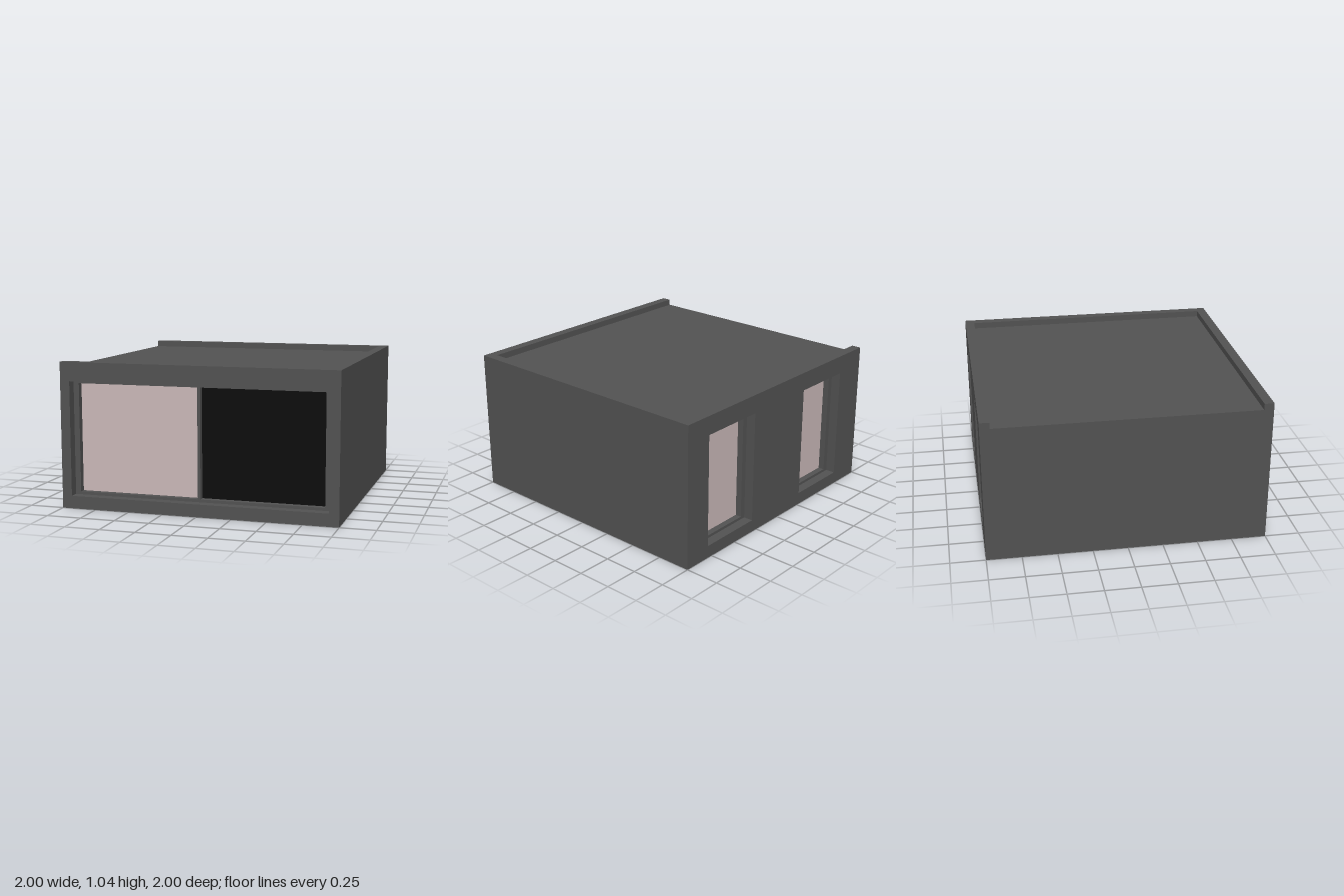
import * as THREE from 'three';

export function createModel() {
  const model = new THREE.Group();
  model.name = 'flatRoofBuilding';

  const mat = (name, color) => {
    const m = new THREE.MeshStandardMaterial({ color });
    m.name = name;
    return m;
  };
  const grey = mat('grey concrete', 0x525252);
  const pale = mat('pale pink glazing', 0xc9b8b8);
  const black = mat('black glazing', 0x0d0d0d);

  const H = 1.045, ROOF = 1.0, T = 0.07;   // parapet top, roof level, wall thickness
  const SILL = 0.09, HEAD = 0.91;          // wall openings
  const RIM = 0.04, FRAME = 0.08;          // frame sections
  const GLASS_INSET = 0.04;                // glazing behind the frame face

  const add = (parent, name, geometry, material) => {
    const mesh = new THREE.Mesh(geometry, material);
    mesh.name = name;
    parent.add(mesh);
    return mesh;
  };

  // Box given by its two extreme corners
  const box = (parent, name, material, x0, x1, y0, y1, z0, z1) => {
    const mesh = add(parent, name, new THREE.BoxGeometry(x1 - x0, y1 - y0, z1 - z0), material);
    mesh.position.set((x0 + x1) / 2, (y0 + y1) / 2, (z0 + z1) / 2);
    return mesh;
  };

  const rect = (Type, x0, x1, y0, y1) => new Type([
    new THREE.Vector2(x0, y0), new THREE.Vector2(x1, y0),
    new THREE.Vector2(x1, y1), new THREE.Vector2(x0, y1),
  ]);

  // Upright plate with rectangular holes, spanning z0 to z0 + depth
  const plate = (parent, name, outer, holes, z0, depth) => {
    const shape = rect(THREE.Shape, ...outer);
    holes.forEach((h) => shape.holes.push(rect(THREE.Path, ...h)));
    const geometry = new THREE.ExtrudeGeometry(shape, { depth, bevelEnabled: false });
    add(parent, name, geometry, grey).position.z = z0;
  };

  // Wall with recessed windows; the outer face is at local z = 1.
  // Each opening is { x0, x1, panes: [[x0, x1, material], ...] }
  const windowWall = (name, openings) => {
    const wall = new THREE.Group();
    wall.name = name;
    plate(wall, name + 'Panel', [-1, 1, 0, H],
      openings.map((o) => [o.x0, o.x1, SILL, HEAD]), 1 - T, T);
    const face = 1 - T - 0.005;
    openings.forEach((o) => {
      const y0 = SILL + 0.02, y1 = HEAD - 0.02;
      plate(wall, 'windowFrame', [o.x0 - 0.01, o.x1 + 0.01, SILL - 0.01, HEAD + 0.01],
        o.panes.map(([a, b]) => [a, b, y0, y1]), face - FRAME, FRAME + 0.005);
      o.panes.forEach(([a, b, material]) => {
        const z = face - GLASS_INSET;
        box(wall, 'windowPane', material, a, b, y0, y1, z - 0.008, z);
      });
    });
    model.add(wall);
    return wall;
  };

  // Front: one wide opening with a pale and a black pane
  windowWall('frontWall', [{
    x0: -0.93, x1: 0.93,
    panes: [[-0.89, -0.01, pale], [0.01, 0.89, black]],
  }]);

  // Back: two tall windows (x is mirrored by the half turn)
  const single = (x0, x1) => ({ x0, x1, panes: [[x0 + RIM, x1 - RIM, pale]] });
  windowWall('backWall', [single(-0.79, -0.3), single(0.27, 0.74)]).rotation.y = Math.PI;

  // Side walls: the right one rises into a parapet, the left one stops at the roof
  const Z = 1 - T;
  box(model, 'rightWall', grey, -1, -1 + T, 0, ROOF, -Z, Z).name = 'plainSideWall';
  box(model, 'parapetSideWall', grey, 1 - T, 1, 0, H, -Z, Z);

  // Floor and roof slabs between the walls
  box(model, 'floorSlab', grey, -1 + T, 1 - T, 0, 0.07, -Z, Z);
  box(model, 'roofSlab', grey, -1 + T, 1 - T, ROOF - 0.07, ROOF, -Z, Z);

  return model;
}
